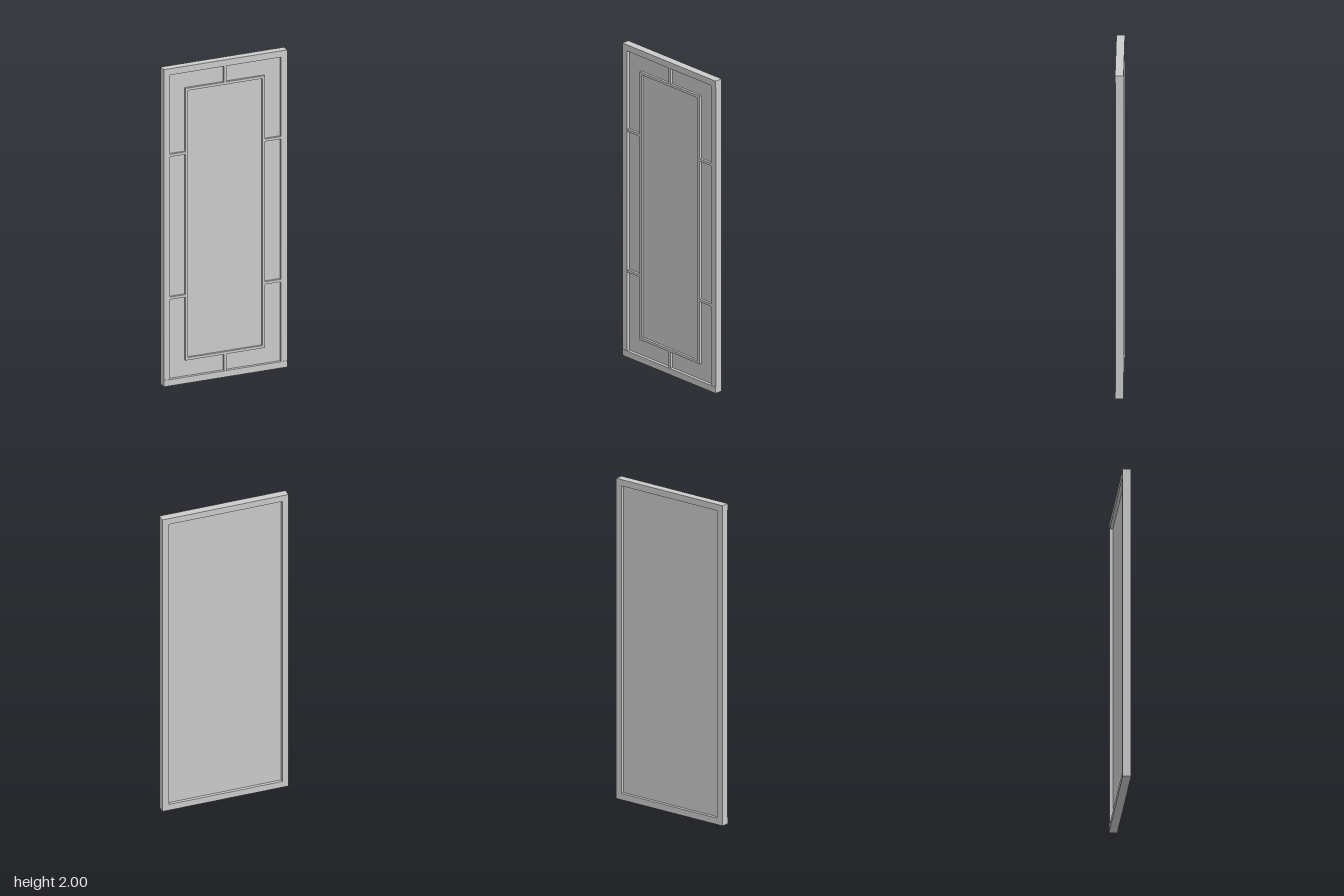
import * as THREE from 'three';

const material = new THREE.MeshStandardMaterial({ color: 0xcccccc });

export function createModel() {
  const group = new THREE.Group();

  // Box given by its limits on each axis
  const bar = (name, x0, x1, y0, y1, z0, z1) => {
    const mesh = new THREE.Mesh(new THREE.BoxGeometry(x1 - x0, y1 - y0, z1 - z0), material);
    mesh.position.set((x0 + x1) / 2, (y0 + y1) / 2, (z0 + z1) / 2);
    mesh.name = name;
    group.add(mesh);
  };

  const W = 0.4, H = 2, F = 0.04;      // half width, height, frame width
  const D = 0.025, P = 0.005;          // half depth of frame and panel
  const B = 0.008, front = 0.02;       // half width and front face of the thin bars
  const ix = 0.25, iy = 0.15;          // centre line of the inner rectangle

  // Outer frame, the rails standing just proud of the stiles
  bar('bottomRail', -W, W, 0, F, -D, D);
  bar('topRail', -W, W, H - F, H, -D, D);
  bar('rightStile', -W, -W + F, F, H - F, -D, D - 0.002);
  bar('leftStile', W - F, W, F, H - F, -D, D - 0.002);

  // Recessed panel
  bar('panel', -W + F, W - F, F, H - F, -P, P);

  // Inner rectangle of thin bars
  for (const y of [iy, H - iy]) {
    bar('innerRail', -ix - B, ix + B, y - B, y + B, P, front);
  }
  for (const x of [-ix, ix]) {
    bar('innerStile', x - B, x + B, iy + B, H - iy - B, P, front);
  }

  // Short bars joining the inner rectangle to the frame
  bar('bottomLink', -B, B, F, iy - B, P, front);
  bar('topLink', -B, B, H - iy + B, H - F, P, front);
  for (const y of [0.55, 1.45]) {
    bar('rightLink', -W + F, -ix - B, y - B, y + B, P, front);
    bar('leftLink', ix + B, W - F, y - B, y + B, P, front);
  }

  return group;
}
